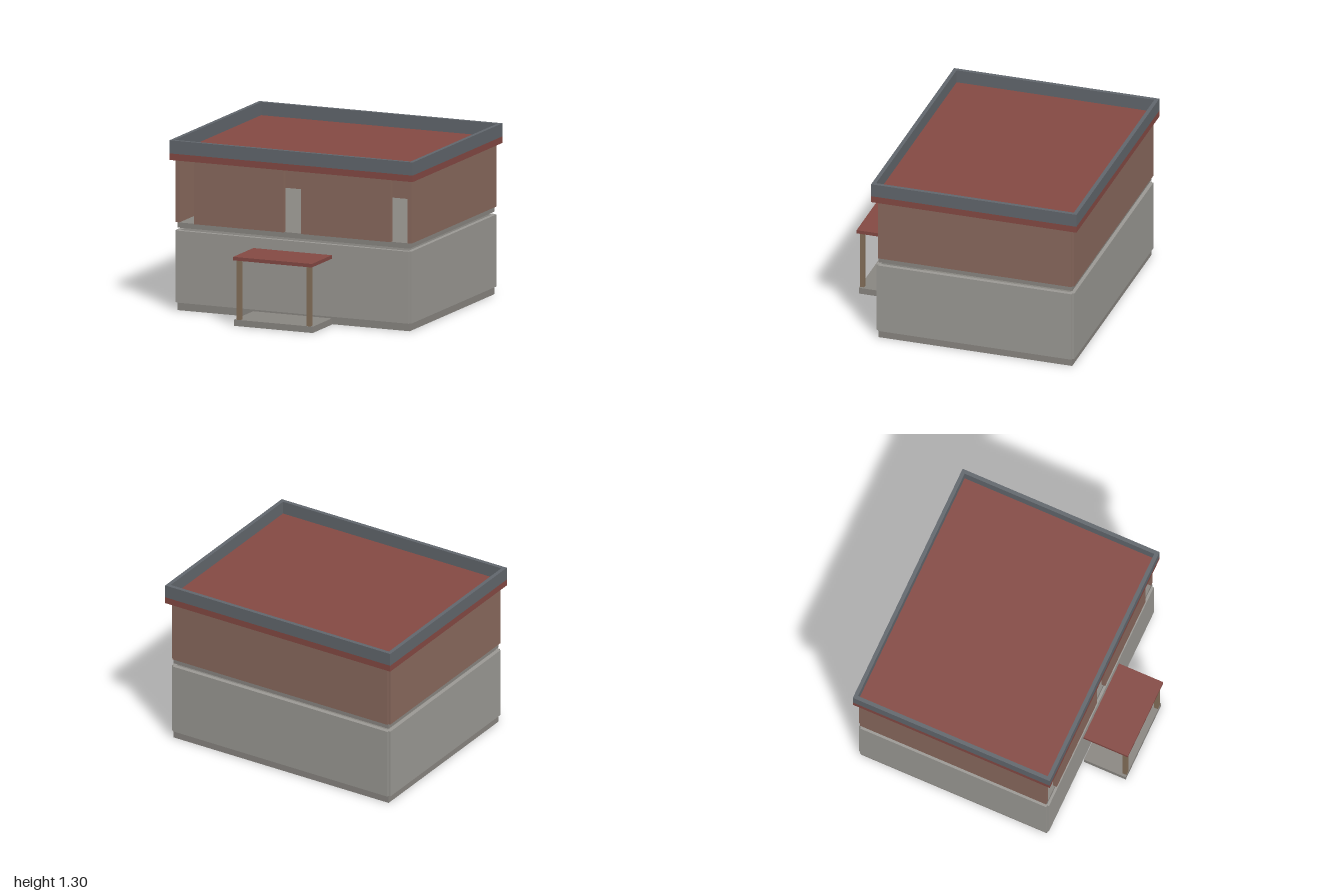
import * as THREE from 'three';

export function createModel() {
  const model = new THREE.Group();
  const mat = (color) => new THREE.MeshStandardMaterial({ color, flatShading: true });
  const concrete = mat(0x8a8782), stone = mat(0x9c9a95), brick = mat(0x8a6a5e);
  const red = mat(0x854a44), metal = mat(0x62676d), wood = mat(0x85705a);

  // Box given by its extents on each axis
  const box = (name, material, [x0, x1], [y0, y1], [z0, z1], parent = model) => {
    const mesh = new THREE.Mesh(new THREE.BoxGeometry(x1 - x0, y1 - y0, z1 - z0), material);
    mesh.position.set((x0 + x1) / 2, (y0 + y1) / 2, (z0 + z1) / 2);
    mesh.name = name;
    parent.add(mesh);
  };

  // Floor outline; walls are centred on its edge, leaving notched corners
  const X = 0.955, zBack = -0.927, zFront = 0.597, h = 0.016;
  const slabX = [-X, X], slabZ = [zBack, zFront];
  const frontZ = [zFront - h, zFront + h];

  const storey = (name, material, y, frontPanels) => {
    const group = new THREE.Group();
    group.name = name;
    for (const s of [-1, 1])
      box(s > 0 ? 'leftWall' : 'rightWall', material, [s * X - h, s * X + h], y, slabZ, group);
    box('backWall', material, slabX, y, [zBack - h, zBack + h], group);
    for (const x of frontPanels) box('frontWall', material, x, y, frontZ, group);
    model.add(group);
  };

  // Ground floor
  box('foundation', concrete, slabX, [0, 0.06], slabZ);
  storey('groundFloorWalls', stone, [0.06, 0.61], [slabX]);
  box('stairTop', concrete, [-0.34, -0.29], [0.58, 0.63], [-0.06, 0.19]);

  // Upper floor, with tall openings between the front panels
  box('upperSlab', concrete, slabX, [0.63, 0.67], slabZ);
  storey('upperFloorWalls', brick, [0.67, 1.15], [[-0.81, -0.075], [0.07, 0.805]]);
  box('partition', stone, [0.058, 0.085], [0.67, 1.15], [-0.91, -0.3]);

  // Roof and parapet
  const rz0 = -0.975, rz1 = 0.64, t = 0.03, py = [1.2, 1.3];
  box('roof', red, [-1, 1], [1.15, 1.2], [rz0, rz1]);
  box('frontParapet', metal, [-1, 1], py, [rz1 - t, rz1]);
  box('backParapet', metal, [-1, 1], py, [rz0, rz0 + t]);
  for (const s of [-1, 1]) {
    const c = s * (1 - t / 2);
    box('sideParapet', metal, [c - t / 2, c + t / 2], py, [rz0 + t, rz1 - t]);
  }

  // Entrance porch
  box('porchFloor', concrete, [-0.323, 0.323], [0, 0.048], [0.615, 0.958]);
  box('porchRoof', red, [-0.323, 0.323], [0.503, 0.53], [0.613, 0.975]);
  for (const c of [-0.287, 0.287])
    box('porchPost', wood, [c - 0.017, c + 0.017], [0.048, 0.503], [0.922, 0.956]);

  return model;
}
